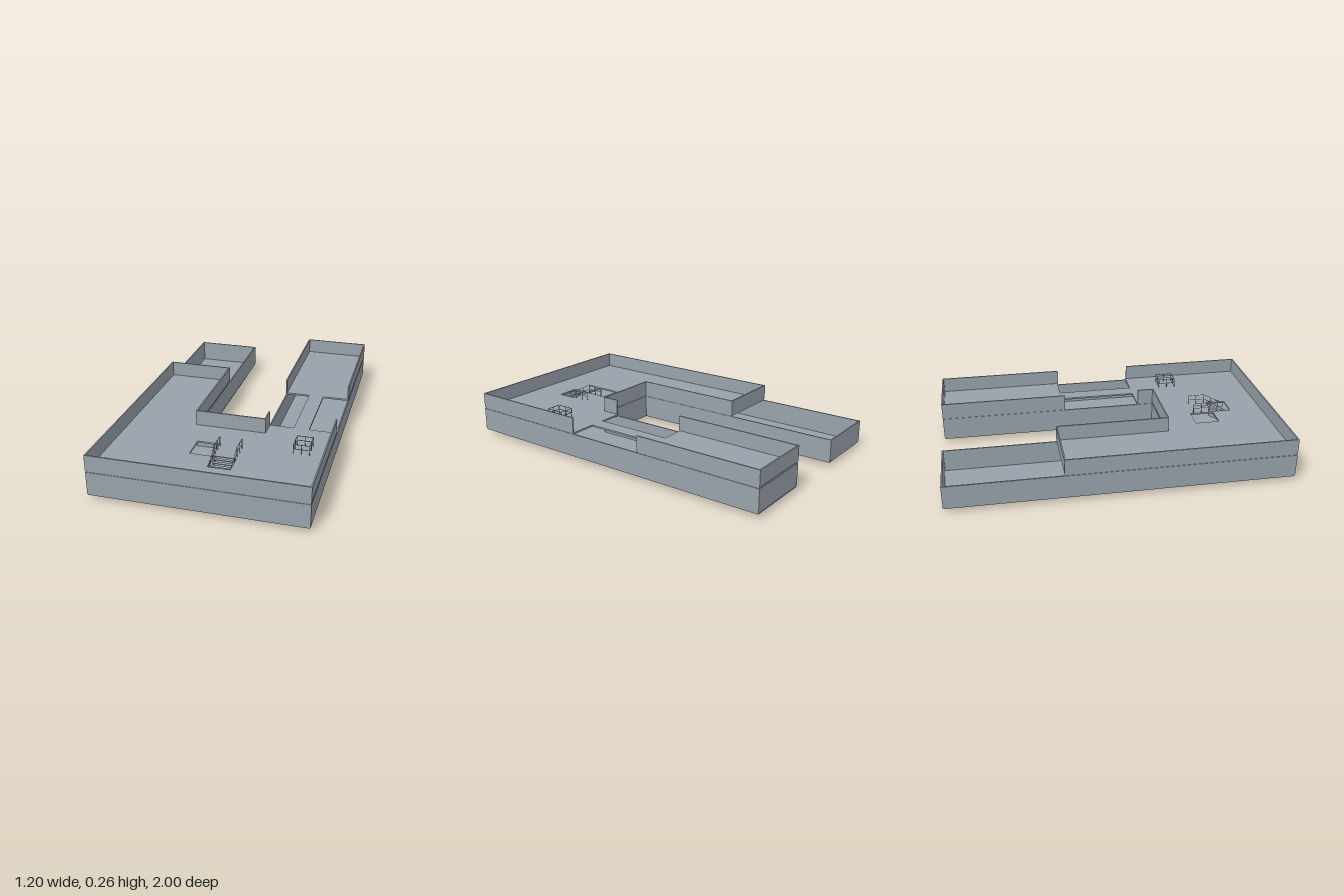
import * as THREE from 'three';

const T = 0.008;                                   // wall thickness
const FLOOR = 0.175;                               // top of the upper slab

export function createModel() {
  const model = new THREE.Group();
  const concrete = new THREE.MeshStandardMaterial({ color: 0x98a2ab });
  concrete.name = 'blueGreyConcrete';

  const add = (parent, name, geometry) => {
    const mesh = new THREE.Mesh(geometry, concrete);
    mesh.name = name;
    parent.add(mesh);
    return mesh;
  };
  const group = (name) => {
    const g = new THREE.Group();
    g.name = name;
    model.add(g);
    return g;
  };
  // Box given by its limits on each axis
  const box = (parent, name, x0, x1, y0, y1, z0, z1) =>
    add(parent, name, new THREE.BoxGeometry(x1 - x0, y1 - y0, z1 - z0))
      .position.set((x0 + x1) / 2, (y0 + y1) / 2, (z0 + z1) / 2);
  // Horizontal slab from an outline of [x, z] points with rectangular holes
  const points = (list) => list.map(([x, z]) => new THREE.Vector2(x, z));
  const slab = (name, outline, top, holes = []) => {
    const shape = new THREE.Shape(points(outline));
    for (const [x0, x1, z0, z1] of holes)
      shape.holes.push(new THREE.Path(points([[x0, z0], [x0, z1], [x1, z1], [x1, z0]])));
    const geometry = new THREE.ExtrudeGeometry(shape, { depth: 0.01, bevelEnabled: false });
    add(model, name, geometry.rotateX(Math.PI / 2).translate(0, top, 0));
  };
  // Thin upright plate from a [z, y] profile
  const sidePlate = (parent, name, x, profile, thick) => {
    const geometry = new THREE.ExtrudeGeometry(new THREE.Shape(points(profile)),
      { depth: thick, bevelEnabled: false });
    add(parent, name, geometry.rotateY(-Math.PI / 2).translate(x + thick / 2, 0, 0));
  };
  // Round bar between two points
  const bar = (parent, name, a, b, r = 0.0015) => {
    const path = new THREE.LineCurve3(new THREE.Vector3(...a), new THREE.Vector3(...b));
    add(parent, name, new THREE.TubeGeometry(path, 1, r, 6));
  };

  // Slabs, set in slightly from the wall faces
  const e = 0.597, n = 0.203;
  slab('lowerFloor', [[-e, -0.997], [-n, -0.997], [-n, 0.333], [n, 0.333], [n, -0.997],
    [e, -0.997], [e, 0.992], [-e, 0.992]], 0.035);
  slab('upperFloor', [[-e, -0.335], [-n, -0.335], [-n, 0.333], [n, 0.333], [n, 0.23],
    [0.35, 0.23], [0.35, -0.24], [n, -0.24], [n, -0.997], [e, -0.997], [e, -0.24],
    [0.44, -0.24], [0.44, 0.23], [e, 0.23], [e, 0.992], [-e, 0.992]], FLOOR,
  [[-0.135, -0.005, 0.53, 0.675], [0.002, 0.13, 0.65, 0.79]]);

  // Walls of both storeys, as [x0, x1, z0, z1]
  const zf = 0.995;
  const shared = [
    [-0.6, 0.6, zf - T, zf],                       // front
    [-0.2, 0.2, 0.33, 0.33 + T],                   // courtyard end
    [0.2, 0.6, -1, -1 + T],                        // right wing end
  ];
  const lower = [...shared,
    [-0.6, -0.6 + T, -1, zf], [0.6 - T, 0.6, -1, zf],
    [-0.2 - T, -0.2, -1, 0.33 + T], [0.2, 0.2 + T, -1, 0.33 + T],
    [-0.6, -0.2, -1, -1 + T],
  ];
  const upper = [...shared,
    [-0.6, -0.6 + T, -0.338, zf],
    [-0.2 - T, -0.2, -0.338, 0.33 + T],
    [-0.6, -0.2, -0.338, -0.338 + T],
    [0.6 - T, 0.6, -1, -0.235], [0.6 - T, 0.6, 0.235, zf],
    [0.2, 0.2 + T, -1, -0.235], [0.2, 0.2 + T, 0.235, 0.33 + T],
  ];
  const storeys = [['lowerWalls', lower, 0.033, 0.165], ['upperWalls', upper, 0.174, 0.265]];
  for (const [name, walls, y0, y1] of storeys) {
    const g = group(name);
    for (const [x0, x1, z0, z1] of walls) box(g, 'wall', x0, x1, y0, y1, z0, z1);
  }

  // Two stair flights, each running from its low end to its high end
  const flight = (name, x0, x1, zLow, yLow, zHigh, yHigh) => {
    const g = group(name);
    const steps = 7;
    const run = (zHigh - zLow) / steps, rise = (yHigh - yLow) / steps;
    for (let i = 0; i < steps; i++) {
      const z = zLow + run * (i + 0.5), y = yLow + rise * (i + 1);
      box(g, 'tread', x0, x1, y - 0.004, y, z - Math.abs(run) / 2, z + Math.abs(run) / 2);
    }
    for (const x of [x0 + 0.005, x1 - 0.005]) {
      const profile = [[zLow, yLow - 0.03], [zHigh, yHigh - 0.03], [zHigh, yHigh], [zLow, yLow]];
      sidePlate(g, 'stringer', x, profile, 0.004);
    }
    return g;
  };
  flight('lowerFlight', -0.132, -0.006, 0.55, 0.03, 0.672, 0.105);
  const upperFlight = flight('upperFlight', 0.003, 0.13, 0.79, 0.1, 0.65, 0.175);

  // Handrails that follow the upper flight and run on over the floor
  for (const x of [0.003, 0.127]) {
    const base = (z) => (z < 0.65 ? FLOOR : FLOOR - (z - 0.65) * 0.535);
    const zs = [0.55, 0.6, 0.65, 0.7, 0.75, 0.78];
    zs.forEach((z, i) => {
      bar(upperFlight, 'railPost', [x, base(z), z], [x, base(z) + 0.06, z]);
      if (!i) return;
      const p = zs[i - 1];
      for (const h of [0.03, 0.06])
        bar(upperFlight, 'handrail', [x, base(p) + h, p], [x, base(z) + h, z]);
    });
  }
  // Guard rail between the two stair holes
  const guard = group('stairGuard');
  for (const z of [0.55, 0.6, 0.65])
    bar(guard, 'railPost', [-0.004, FLOOR, z], [-0.004, FLOOR + 0.05, z]);
  bar(guard, 'handrail', [-0.004, FLOOR + 0.05, 0.55], [-0.004, FLOOR + 0.05, 0.65]);

  // Square railing enclosure
  const pen = group('railingEnclosure');
  const corners = [[0.41, 0.425], [0.5, 0.425], [0.5, 0.53], [0.41, 0.53]];
  corners.forEach(([x, z], i) => {
    const [x2, z2] = corners[(i + 1) % 4];
    const mx = (x + x2) / 2, mz = (z + z2) / 2;
    bar(pen, 'railPost', [x, FLOOR, z], [x, FLOOR + 0.055, z], 0.002);
    bar(pen, 'railPost', [mx, FLOOR, mz], [mx, FLOOR + 0.055, mz], 0.002);
    for (const h of [0.028, 0.055])
      bar(pen, 'handrail', [x, FLOOR + h, z], [x2, FLOOR + h, z2], 0.002);
  });
  return model;
}
